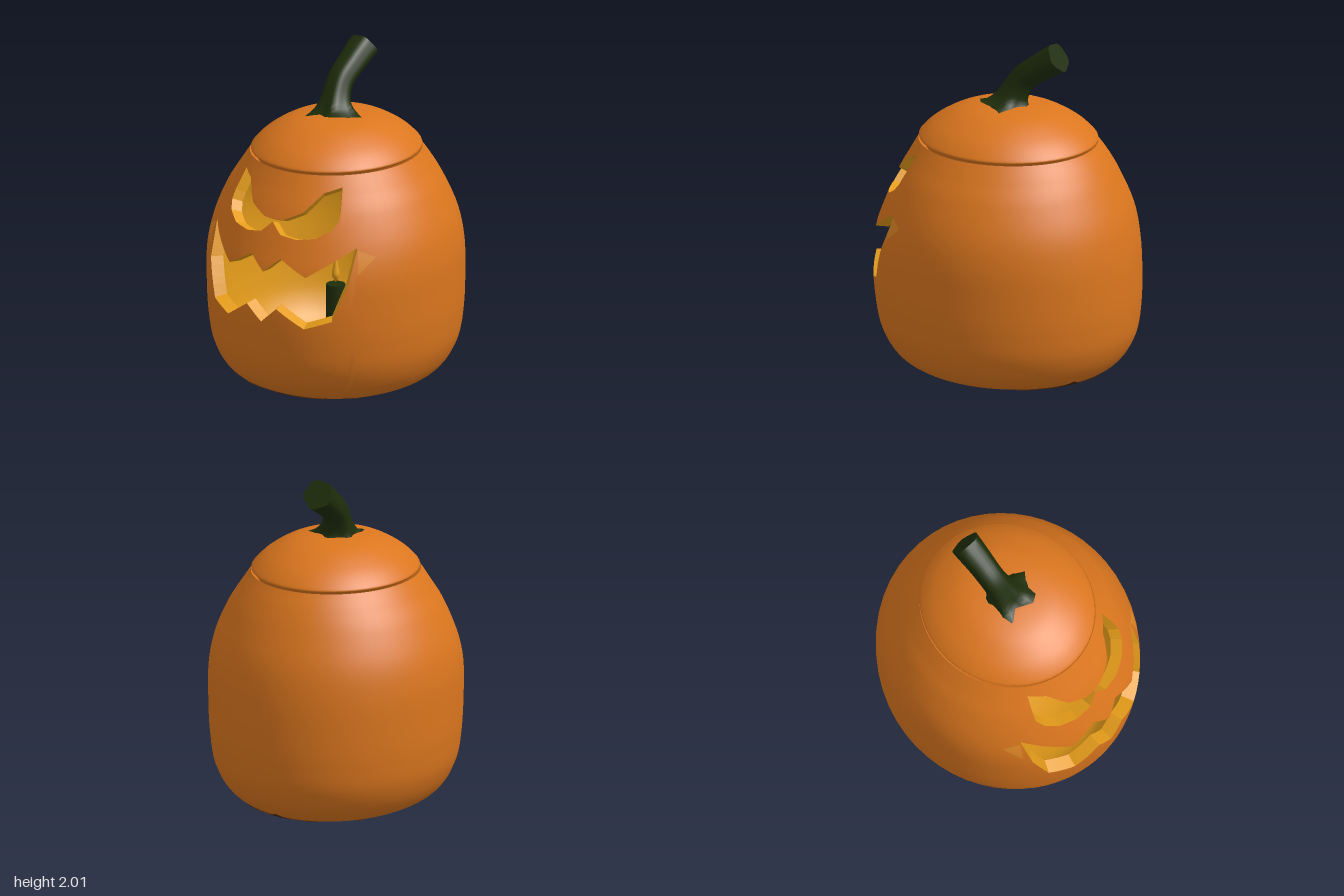
import * as THREE from 'three';
import { toCreasedNormals } from 'three/addons/utils/BufferGeometryUtils.js';

const mat = (name, color, side = THREE.FrontSide) => {
  const m = new THREE.MeshStandardMaterial({ color, side });
  m.name = name;
  return m;
};

// Body profile from the base centre to the rim: y, half width, front depth, back depth
const PROFILE = [
  [0, 0, 0, 0], [0.008, 0.28, 0.28, 0.3], [0.06, 0.47, 0.48, 0.54], [0.14, 0.6, 0.63, 0.67],
  [0.28, 0.68, 0.72, 0.75], [0.45, 0.71, 0.757, 0.775], [0.65, 0.72, 0.772, 0.778], [0.85, 0.72, 0.757, 0.765],
  [1.02, 0.69, 0.7, 0.73], [1.2, 0.615, 0.625, 0.655], [1.32, 0.54, 0.56, 0.59], [1.41, 0.48, 0.51, 0.525],
];
const frontCurve = new THREE.CatmullRomCurve3(PROFILE.map(p => new THREE.Vector3(p[0], p[1], p[2])), false, 'catmullrom', 0.5);
const backCurve = new THREE.CatmullRomCurve3(PROFILE.map(p => new THREE.Vector3(p[0], p[1], p[3])), false, 'catmullrom', 0.5);
const INNER = 0.9;

// Point on the shell; k below 1 gives the inner wall
function shell(theta, t, k = 1) {
  const f = frontCurve.getPoint(t), c = Math.cos(theta);
  const depth = c > 0 ? f.z : backCurve.getPoint(t).z;
  const y = k < 1 ? 0.8 + (f.x - 0.8) * 0.93 : f.x;
  return new THREE.Vector3(f.y * Math.sin(theta) * k, y, depth * c * k);
}
function shellNormal(theta, t) {
  if (t < 0.01) return new THREE.Vector3(0, -1, 0);
  const e = 0.002, t1 = Math.min(1, t + e), t0 = t - e;
  const du = shell(theta + e, t).sub(shell(theta - e, t));
  return du.cross(shell(theta, t1).sub(shell(theta, t0))).normalize();
}
// Profile parameter at which a coordinate ('x' height, 'y' half width) reaches a value
function findT(axis, value, hi = 1) {
  let lo = 0;
  for (let i = 0; i < 30; i++) {
    const m = (lo + hi) / 2;
    if (frontCurve.getPoint(m)[axis] < value) lo = m; else hi = m;
  }
  return (lo + hi) / 2;
}

function build(pos, nor, index) {
  const g = new THREE.BufferGeometry();
  g.setAttribute('position', new THREE.Float32BufferAttribute(pos, 3));
  g.setIndex(index);
  if (nor) g.setAttribute('normal', new THREE.Float32BufferAttribute(nor, 3));
  return g;
}
// Quads over a grid of cols by rows
function gridIndex(cols, rows, flip) {
  const idx = [];
  for (let i = 0; i < cols - 1; i++) for (let j = 0; j < rows - 1; j++) {
    const a = i * rows + j, b = a + rows, c = b + 1, d = a + 1;
    if (flip) idx.push(a, c, b, a, d, c); else idx.push(a, b, c, a, c, d);
  }
  return idx;
}
// Shell patch between two profile limits at each angle
function patch(thetas, lo, hi, rows, k) {
  const pos = [], nor = [];
  for (const th of thetas) {
    const a = lo(th), b = hi(th);
    for (let j = 0; j < rows; j++) {
      const t = a + (b - a) * j / (rows - 1);
      pos.push(...shell(th, t, k));
      const n = shellNormal(th, t);
      nor.push(...(k < 1 ? n.negate() : n));
    }
  }
  return build(pos, nor, gridIndex(thetas.length, rows, k < 1));
}
// Cut wall joining outer and inner shell along a curve
function wall(thetas, tAt, flip) {
  const pos = [];
  for (const th of thetas) for (const k of [1, INNER]) pos.push(...shell(th, tAt(th), k));
  const g = build(pos, null, gridIndex(thetas.length, 2, flip)).toNonIndexed();
  g.computeVertexNormals();
  return g;
}

// Carved outlines: sine of the angle, height; mirrored about the centre
const MOUTH_TOP = [[0, 0.875], [0.139, 0.96], [0.36, 0.87], [0.7, 1.035]];
const MOUTH_LOW = [[0, 0.58], [0.139, 0.67], [0.36, 0.565], [0.556, 0.615], [0.65, 0.83], [0.7, 1.035]];
const EYE_TOP = [[0, 1.16], [0.1, 1.165], [0.28, 1.215], [0.37, 1.27], [0.46, 1.32], [0.63, 1.35]];
const EYE_LOW = [[0, 1.147], [0.1, 1.085], [0.25, 1.07], [0.41, 1.085], [0.53, 1.13], [0.585, 1.18], [0.6, 1.23], [0.63, 1.35]];
const GLOW_TOP = [[0.7, 1.02], [0.8, 0.98]];
const GLOW_LOW = [[0.7, 0.88], [0.8, 0.98]];
const outline = table => theta => {
  const s = Math.abs(Math.sin(theta));
  let y = table[table.length - 1][1];
  for (let i = 0; i < table.length - 1; i++) {
    const [s0, y0] = table[i], [s1, y1] = table[i + 1];
    if (s >= s0 && s < s1) y = y0 + (y1 - y0) * (s - s0) / (s1 - s0);
  }
  return findT('x', y);
};

// Dark blotch on the base: angle in degrees, reach
const BLOTCH = [
  [0, 0.42], [10, 0.3], [18, 0.06], [30, 0.15], [37, 0.48], [46, 0.42], [57, 0.57], [68, 0.5], [78, 0.58],
  [88, 0.5], [100, 0.47], [107, 0.41], [116, 0.12], [160, 0.08], [166, 0.3], [173, 0.42], [182, 0.26], [190, 0.08],
  [203, 0.42], [225, 0.56], [238, 0.47], [251, 0.58], [268, 0.46], [292, 0.34], [302, 0.08], [344, 0.06], [350, 0.3], [360, 0.42],
];

export function createModel() {
  const model = new THREE.Group();
  const skin = mat('orange skin', 0xdb761e, THREE.DoubleSide);
  const glow = mat('pale orange', 0xdf8826);
  const flesh = mat('yellow flesh', 0xe59c1a, THREE.DoubleSide);
  const green = mat('dark green', 0x1e2d0a, THREE.DoubleSide);
  const dark = mat('dark brown', 0x4a2408, THREE.DoubleSide);
  const add = (name, geo, m, parent = model) => {
    const mesh = new THREE.Mesh(geo, m);
    mesh.name = name;
    parent.add(mesh);
    return mesh;
  };

  // Angles over the carved face, including every outline corner; the back overlaps a hair
  const sines = new Set();
  for (const [s] of [...MOUTH_TOP, ...MOUTH_LOW, ...EYE_TOP, ...EYE_LOW]) sines.add(s).add(-s);
  for (let i = -13; i <= 13; i++) sines.add(i * 0.05);
  const face = [...sines].sort((a, b) => a - b).map(Math.asin);
  const edge = Math.asin(0.7) - 0.006;
  const back = Array.from({ length: 41 }, (_, i) => edge + (Math.PI * 2 - edge * 2) * i / 40);

  // Hollow body, outer and inner
  const mTop = outline(MOUTH_TOP), mLow = outline(MOUTH_LOW), eTop = outline(EYE_TOP), eLow = outline(EYE_LOW);
  const zero = () => 0, one = () => 1;
  const body = new THREE.Group();
  body.name = 'body';
  model.add(body);
  for (const [label, k, m] of [['outer', 1, skin], ['inner', INNER, flesh]]) {
    add(label + 'Back', patch(back, zero, one, 45, k), m, body);
    add(label + 'Chin', patch(face, zero, mLow, 24, k), m, body);
    add(label + 'Nose', patch(face, mTop, eLow, 8, k), m, body);
    add(label + 'Brow', patch(face, eTop, one, 8, k), m, body);
  }

  // Thickness of the cuts
  const eyeFace = face.filter(t => Math.abs(Math.sin(t)) < 0.6301);
  add('mouthUpperCut', wall(face, mTop, false), flesh);
  add('mouthLowerCut', wall(face, mLow, true), flesh);
  add('eyesUpperCut', wall(eyeFace, eTop, false), flesh);
  add('eyesLowerCut', wall(eyeFace, eLow, true), flesh);
  add('rim', wall([...face, ...back], one, true), skin);

  // Pale smears beside the mouth corners
  const smear = [0.7, 0.725, 0.75, 0.775, 0.8].map(Math.asin);
  for (const [name, angles] of [['leftSmear', smear], ['rightSmear', smear.map(a => -a).reverse()]]) {
    add(name, patch(angles, outline(GLOW_LOW), outline(GLOW_TOP), 6, 1.005), glow);
  }

  // Lid with a plug below its edge and a hollow underside
  const lathe = pts => new THREE.LatheGeometry(new THREE.SplineCurve(pts.map(p => new THREE.Vector2(...p))).getPoints(32), 48);
  const lid = add('lid', lathe([[0.435, 1.365], [0.45, 1.405], [0.47, 1.418], [0.468, 1.44], [0.39, 1.515], [0.26, 1.59], [0.12, 1.622], [0, 1.627]]), skin);
  const under = add('lidUnderside', lathe([[0, 1.53], [0.2, 1.5], [0.36, 1.42], [0.435, 1.365]]), flesh);
  for (const m of [lid, under]) { m.scale.z = 1.09; m.position.z = -0.008; }

  // Bent, ribbed stem with flared foot
  const path = new THREE.CatmullRomCurve3([[-0.01, 1.59, -0.01], [-0.022, 1.68, -0.035], [-0.03, 1.78, -0.095],
    [-0.022, 1.855, -0.19], [-0.012, 1.935, -0.312]].map(p => new THREE.Vector3(...p)));
  const N = 20, R = 20;
  const stem = new THREE.TubeGeometry(path, N, 1, R, false);
  const p = stem.attributes.position, v = new THREE.Vector3();
  for (let i = 0; i <= N; i++) {
    const u = i / N, c = path.getPointAt(u), end = path.getPointAt(1);
    for (let j = 0; j <= R; j++) {
      const ang = j / R * Math.PI * 2, flare = Math.exp(-u * 9);
      const ribs = 1 + (0.06 + 0.16 * flare) * Math.cos(5 * ang + 0.6) + 0.08 * flare * Math.sin(3 * ang);
      const r = (0.07 + 0.085 * flare + 0.018 * u * u) * ribs;
      const k = i * (R + 1) + j;
      v.fromBufferAttribute(p, k).sub(c).multiplyScalar(i === N ? 0 : r);
      v.add(i === N - 1 ? end : c);
      p.setXYZ(k, v.x, v.y, v.z);
    }
  }
  add('stem', toCreasedNormals(stem, 0.8), green);

  // Blotch laid on the base
  const pos = [], nor = [], rings = 24, cols = 181;
  for (let i = 0; i < cols; i++) {
    const deg = i * 2;
    const n = Math.max(1, BLOTCH.findIndex(b => b[0] >= deg));
    const [d0, r0] = BLOTCH[n - 1], [d1, r1] = BLOTCH[n];
    const reach = r0 + (r1 - r0) * (deg - d0) / (d1 - d0);
    const a = THREE.MathUtils.degToRad(deg), ca = Math.cos(a), sa = Math.sin(a);
    const theta = Math.atan2(sa - ca, -ca - sa);
    for (let j = 0; j < rings; j++) {
      const t = findT('y', reach * j / (rings - 1), 0.5), nn = shellNormal(theta, t);
      pos.push(...shell(theta, t).addScaledVector(nn, 0.005));
      nor.push(...nn);
    }
  }
  add('baseBlotch', build(pos, nor, gridIndex(cols, rings, false)), dark);

  // Candle inside
  add('candle', new THREE.CylinderGeometry(0.055, 0.055, 0.54, 20), green).position.y = 0.32;
  const flame = lathe([[0, 0.6], [0.022, 0.64], [0.016, 0.69], [0, 0.77]]);
  add('flame', flame, flesh);
  return model;
}
